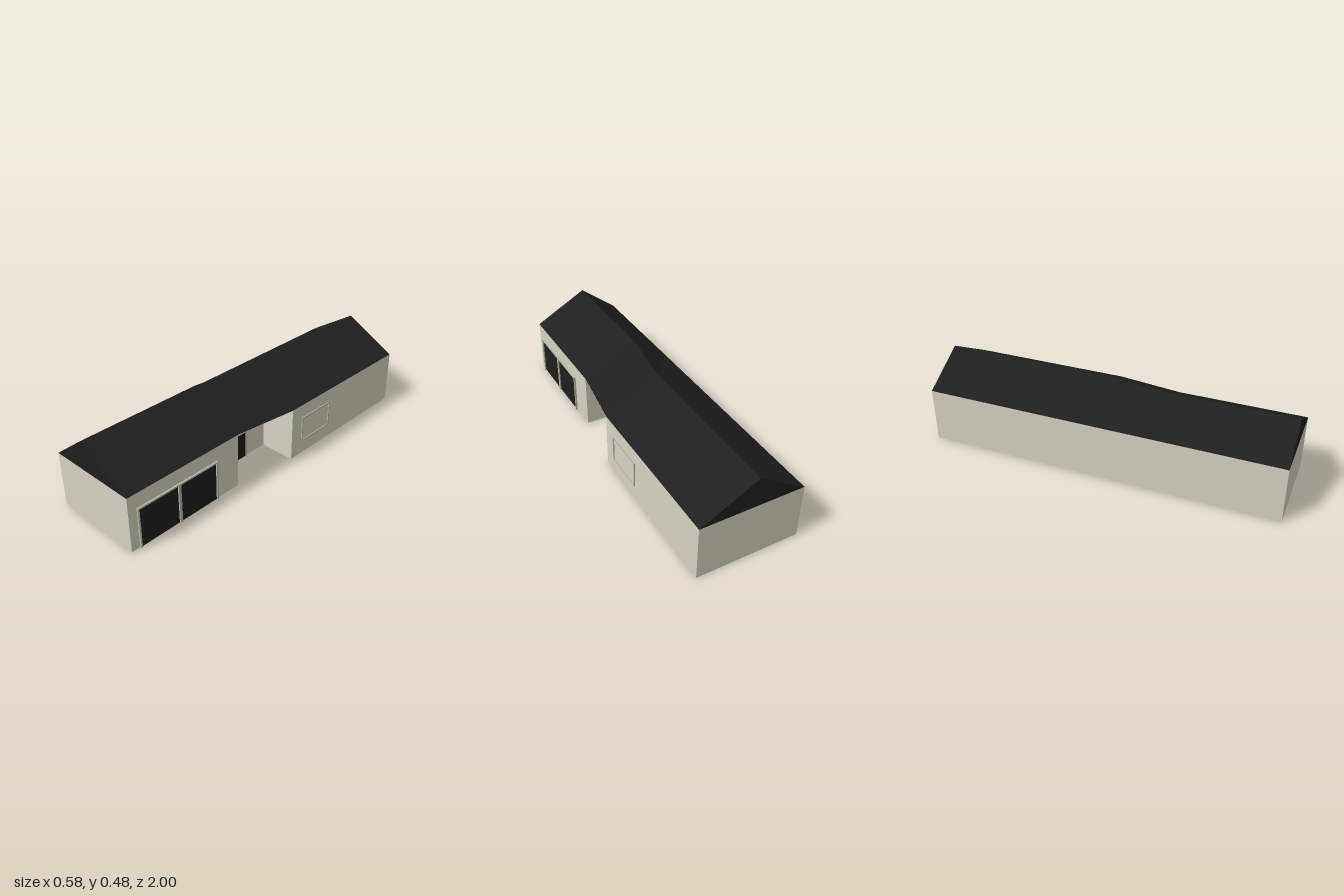
import * as THREE from 'three';

const EAVE = 0.311, RIDGE = 0.476;
const LEFT = -0.289, NEAR = 0.232, FAR = 0.282, INNER = 0.075; // wall planes in x
const Z1 = 0.292, Z2 = -0.08;                                   // porch recess in z

const mat = (color, side = THREE.FrontSide) =>
  new THREE.MeshStandardMaterial({ color, side, flatShading: true });

export function createModel() {
  const house = new THREE.Group();
  house.name = 'house';
  const wallMat = mat(0xd8d2c0), trimMat = mat(0xb0bca0);
  const glassMat = mat(0x1f1f1f), doorMat = mat(0x260e10);
  const roofMat = mat(0x1f1f1f);

  const add = (parent, name, geometry, material) => {
    const mesh = new THREE.Mesh(geometry, material);
    mesh.name = name;
    parent.add(mesh);
    return mesh;
  };
  const planShape = (pts) => new THREE.Shape(pts.map(([x, z]) => new THREE.Vector2(x, -z)));

  // Walls: floor plan with a porch recess, raised to the eaves
  const plan = planShape([[LEFT, 1], [NEAR, 1], [NEAR, Z1], [INNER, Z1],
    [INNER, Z2], [FAR, Z2], [FAR, -1], [LEFT, -1]]);
  const walls = new THREE.ExtrudeGeometry(plan, { depth: EAVE, bevelEnabled: false });
  add(house, 'walls', walls.rotateX(-Math.PI / 2), wallMat);

  // Porch ceiling under the slanted eave
  const soffit = new THREE.ShapeGeometry(planShape([[INNER, Z1], [NEAR, Z1], [FAR, Z2], [INNER, Z2]]));
  add(house, 'porchCeiling', soffit.rotateX(-Math.PI / 2).translate(0, EAVE - 0.001, 0),
    mat(0xd8d2c0, THREE.DoubleSide));

  // Roof: triangular sections [z, ridge x, right eave x] joined front to back
  const sections = [[1, -0.076, NEAR], [Z1, -0.076, NEAR], [Z2, -0.025, FAR], [-1, -0.025, FAR]]
    .map(([z, ridge, eave]) => [[LEFT, EAVE, z], [ridge, RIDGE, z], [eave, EAVE, z]]);
  const pos = [];
  const tri = (a, b, c) => pos.push(...a, ...b, ...c);
  for (let i = 0; i < sections.length - 1; i++) {
    const [l, r, e] = sections[i], [l2, r2, e2] = sections[i + 1];
    tri(l, r, r2); tri(l, r2, l2);
    tri(e, e2, r2); tri(e, r2, r);
  }
  const [fl, fr, fe] = sections[0], [bl, br, be] = sections[3];
  tri(fl, fe, fr);
  tri(be, bl, br);
  const roof = new THREE.BufferGeometry();
  roof.setAttribute('position', new THREE.Float32BufferAttribute(pos, 3));
  roof.computeVertexNormals();
  add(house, 'roof', roof, roofMat);

  // Framed opening on a wall facing +x; panes are separated by mullions
  const opening = (name, x, z0, z1, y0, y1, { depth, bar, panes = 0, paneMat, sill = false }) => {
    const group = new THREE.Group();
    group.name = name;
    house.add(group);
    const box = (part, d, ya, yb, za, zb, m) =>
      add(group, part, new THREE.BoxGeometry(d, yb - ya, zb - za), m)
        .position.set(x + d / 2, (ya + yb) / 2, (za + zb) / 2);
    box('frameSide', depth, y0, y1, z0, z0 + bar, trimMat);
    box('frameSide', depth, y0, y1, z1 - bar, z1, trimMat);
    box('frameTop', depth, y1 - bar, y1, z0 + bar, z1 - bar, trimMat);
    if (sill) box('frameSill', depth, y0, y0 + bar, z0 + bar, z1 - bar, trimMat);
    if (!panes) return;
    box('pane', 0.003, y0, y1 - bar, z0 + bar, z1 - bar, paneMat);
    for (let i = 1; i < panes; i++) {
      const z = z0 + (z1 - z0) * i / panes;
      box('mullion', depth, y0, y1 - bar, z - 0.008, z + 0.008, trimMat);
    }
  };
  opening('slidingWindow', NEAR, 0.443, 0.951, 0, 0.23,
    { depth: 0.01, bar: 0.009, panes: 2, paneMat: glassMat });
  opening('frontDoor', INNER, 0.066, 0.186, 0, 0.168,
    { depth: 0.01, bar: 0.007, panes: 1, paneMat: doorMat });
  opening('sideWindow', FAR, -0.402, -0.16, 0.079, 0.232,
    { depth: 0.005, bar: 0.008, sill: true });

  return house;
}
